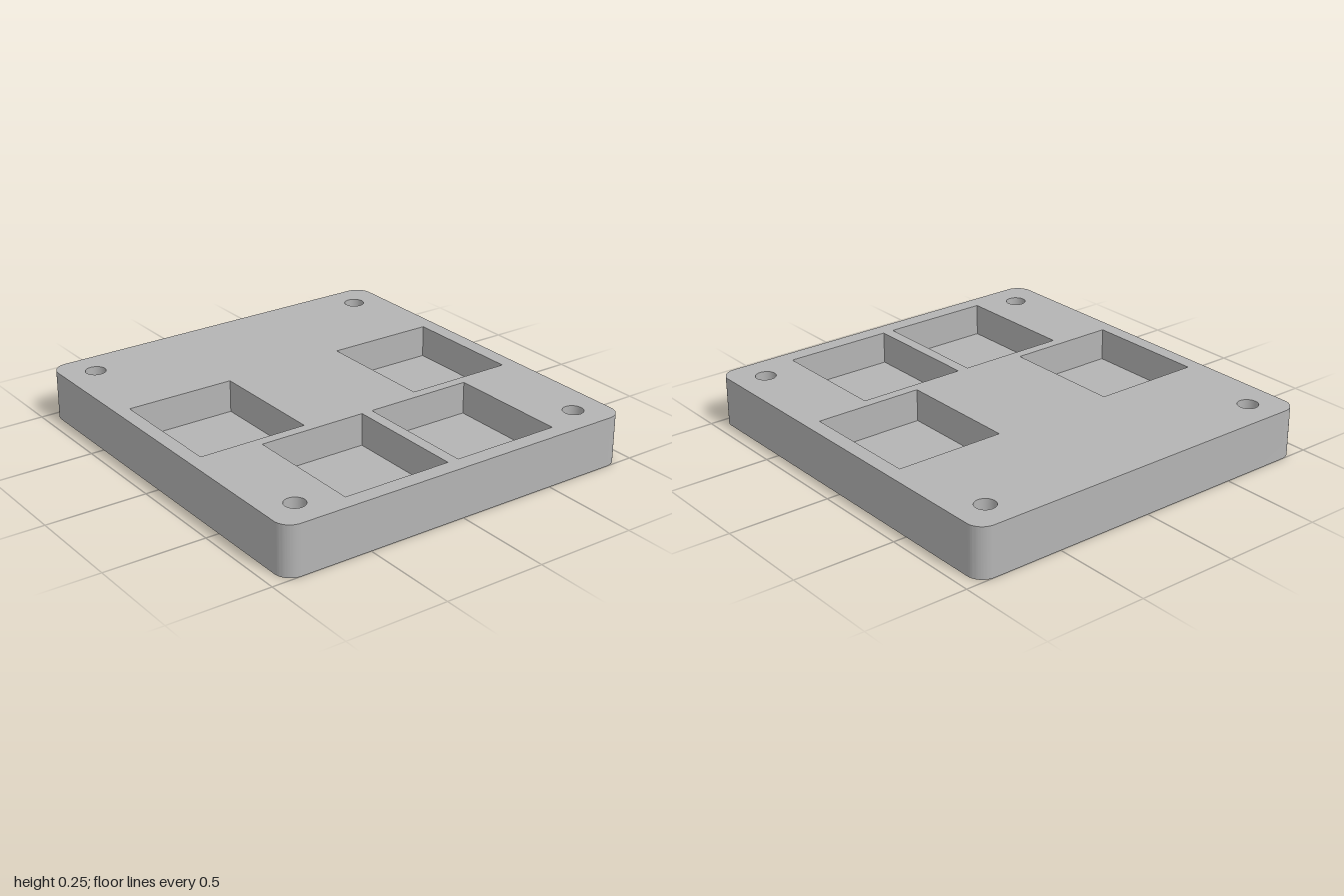
import * as THREE from 'three';
import { mergeGeometries, toCreasedNormals } from 'three/addons/utils/BufferGeometryUtils.js';

const H = 0.245;            // plate height
const FLOOR = 0.085;        // pocket floor level
const RECESS = 0.03;        // depth of the round recesses underneath
const SEG = 12;

// Outlines are drawn counter-clockwise in plan: shape x = x, shape y = -z.
function roundedRect(w, d, r) {
  const s = new THREE.Shape();
  s.absarc(w - r, d - r, r, 0, Math.PI / 2);
  s.absarc(-w + r, d - r, r, Math.PI / 2, Math.PI);
  s.absarc(-w + r, -d + r, r, Math.PI, Math.PI * 1.5);
  s.absarc(w - r, -d + r, r, Math.PI * 1.5, Math.PI * 2);
  s.closePath();
  return s;
}
function circle(x, z, r) {
  return new THREE.Shape().absarc(x, -z, r, 0, Math.PI * 2);
}
function rect(x0, x1, z0, z1) {
  return new THREE.Shape([[x0, -z1], [x1, -z1], [x1, -z0], [x0, -z0]].map(p => new THREE.Vector2(...p)));
}

// Flat face at height y, facing up or down
function cap(outline, holes, y, up) {
  const s = outline.clone();
  s.holes = holes;
  const g = new THREE.ShapeGeometry(s, SEG);
  if (!up) {
    const idx = g.index.array;
    for (let i = 0; i < idx.length; i += 3) [idx[i], idx[i + 1]] = [idx[i + 1], idx[i]];
  }
  g.rotateX(-Math.PI / 2).translate(0, y, 0);
  g.computeVertexNormals();
  return finish(g.toNonIndexed());
}

// Vertical wall along an outline; swapping y0 and y1 makes it face inward
function wall(outline, y0, y1) {
  const pts = outline.getPoints(SEG);
  const pos = [];
  pts.forEach((p, i) => {
    const q = pts[(i + 1) % pts.length];
    if (p.distanceTo(q) < 1e-5) return;
    const a = [p.x, y0, -p.y], b = [q.x, y0, -q.y], c = [q.x, y1, -q.y], d = [p.x, y1, -p.y];
    pos.push(...a, ...b, ...c, ...a, ...c, ...d);
  });
  const g = new THREE.BufferGeometry();
  g.setAttribute('position', new THREE.Float32BufferAttribute(pos, 3));
  g.computeVertexNormals();
  return finish(toCreasedNormals(g, 0.7));
}
function finish(g) {
  g.deleteAttribute('uv');
  return g;
}

export function createModel() {
  const group = new THREE.Group();
  const grey = new THREE.MeshStandardMaterial({ color: 0xb4b4b4 });
  grey.name = 'plain grey';
  const add = (name, parts) => {
    const mesh = new THREE.Mesh(mergeGeometries(parts), grey);
    mesh.name = name;
    group.add(mesh);
  };

  const body = roundedRect(0.935, 1, 0.08);
  const corners = [[-1, -1], [1, -1], [-1, 1], [1, 1]];
  const screwHoles = corners.map(([x, z]) => circle(x * 0.775, z * 0.84, 0.05));
  const footRecesses = corners.map(([x, z]) => circle(x * 0.725, z * 0.525, 0.175));
  const pockets = [
    rect(-0.863, -0.316, -0.36, 0.253),
    rect(0.312, 0.859, -0.36, 0.253),
    rect(-0.577, -0.03, 0.305, 0.92),
    rect(0.026, 0.573, 0.305, 0.92),
  ];

  // Outer block: top, underside and rounded rim
  add('plate', [
    cap(body, [...screwHoles, ...pockets], H, true),
    cap(body, [...screwHoles, ...footRecesses], 0, false),
    wall(body, 0, H),
  ]);

  // Corner holes go right through
  screwHoles.forEach(s => add('screwHole', [wall(s, H, 0)]));

  // Square pockets sunk into the top
  pockets.forEach(s => add('pocket', [wall(s, H, FLOOR), cap(s, [], FLOOR, true)]));

  // Shallow round recesses in the underside
  footRecesses.forEach(s => add('footRecess', [wall(s, RECESS, 0), cap(s, [], RECESS, false)]));

  return group;
}
